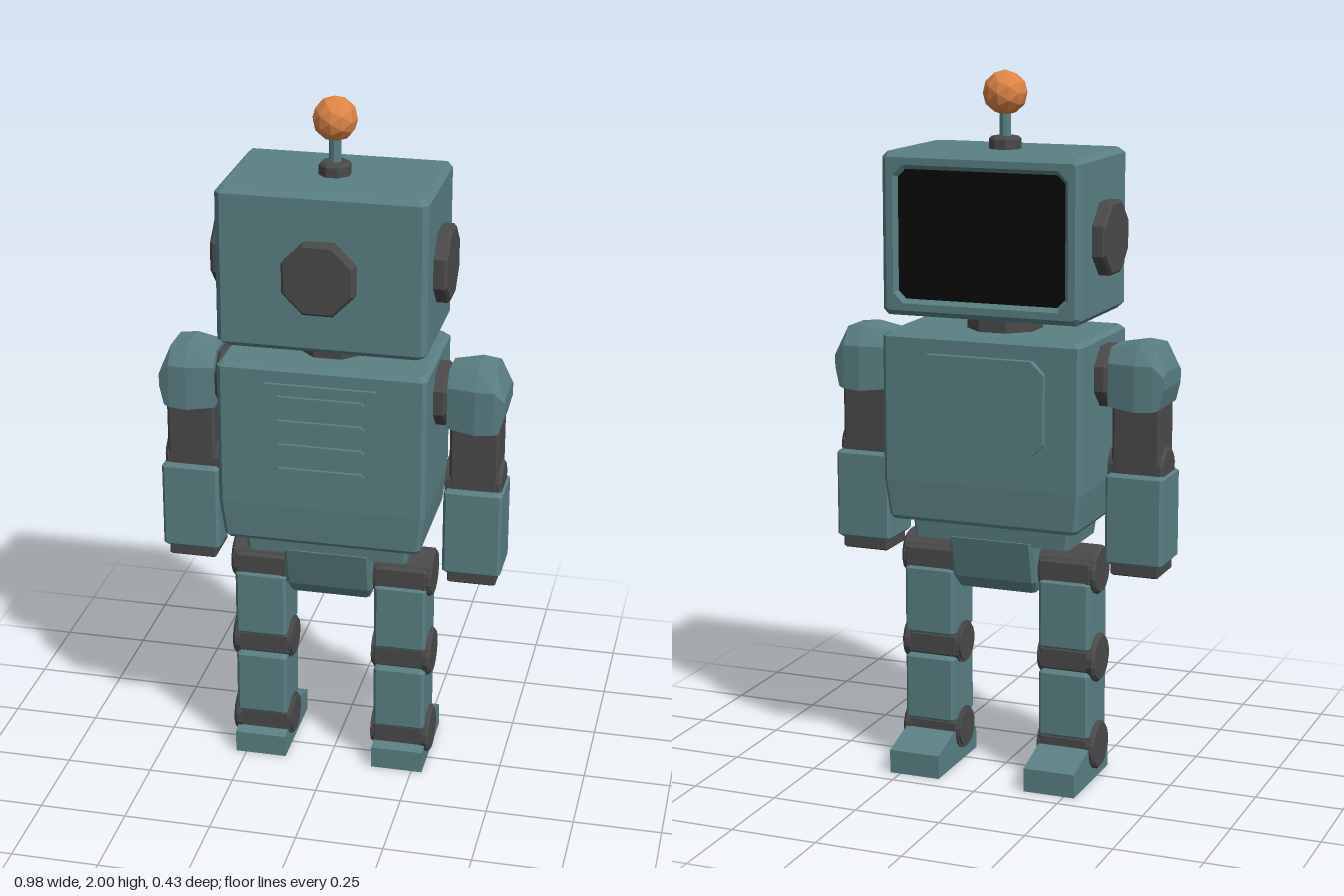
import * as THREE from 'three';
import { ConvexGeometry } from 'three/addons/geometries/ConvexGeometry.js';

const mat = (name, color) => Object.assign(new THREE.MeshStandardMaterial({ color }), { name });
const CZ = -0.008; // depth of the joint axis

export function createModel() {
  const robot = new THREE.Group();
  robot.name = 'robot';
  const teal = mat('teal paint', 0x5a8084);
  const dark = mat('dark rubber', 0x4a4a4a);
  const orange = mat('orange bulb', 0xdd8546);
  const black = mat('black glass', 0x0a0a0a);

  // Flat-faceted mesh
  const add = (parent, name, geo, material) => {
    const g = geo.index ? geo.toNonIndexed() : geo;
    g.computeVertexNormals();
    const mesh = new THREE.Mesh(g, material);
    mesh.name = name;
    parent.add(mesh);
    return mesh;
  };

  // Convex solid through rectangular rings [y, x0, x1, z0, z1] with cut corners
  const loft = (rings, c = 0.012) => {
    const pts = [];
    for (const [y, x0, x1, z0, z1] of rings) {
      for (const [x, sx] of [[x0, 1], [x1, -1]]) {
        for (const [z, sz] of [[z0, 1], [z1, -1]]) {
          pts.push(new THREE.Vector3(x + sx * c, y, z), new THREE.Vector3(x, y, z + sz * c));
        }
      }
    }
    return new ConvexGeometry(pts);
  };

  // Box with chamfered edges
  const block = (x0, x1, y0, y1, z0, z1, c = 0.008) => loft([
    [y0, x0 + c, x1 - c, z0 + c, z1 - c], [y0 + c, x0, x1, z0, z1],
    [y1 - c, x0, x1, z0, z1], [y1, x0 + c, x1 - c, z0 + c, z1 - c]], c);

  // Disc along +y from 0 to h, with its far rim chamfered
  const disc = (r, h, sides, c = 0.008) => new THREE.LatheGeometry(
    [[0, 0], [r, 0], [r, h - c], [r - c, h], [0, h]].map(p => new THREE.Vector2(...p)),
    sides, Math.PI / sides);
  const sideDisc = (r, x0, x1, y, sides) =>
    disc(r, x1 - x0, sides).rotateZ(-Math.PI / 2).translate(x0, y, CZ);

  // Rectangle with cut corners, as a shape or a hole
  const cutRect = (Type, hx, y0, y1, c) => new Type([
    [-hx + c, y0], [hx - c, y0], [hx, y0 + c], [hx, y1 - c],
    [hx - c, y1], [-hx + c, y1], [-hx, y1 - c], [-hx, y0 + c]].map(p => new THREE.Vector2(...p)));
  const plate = (hx, y0, y1, c, z, depth) => new THREE.ExtrudeGeometry(
    cutRect(THREE.Shape, hx, y0, y1, c), { depth, bevelEnabled: false }).translate(0, 0, z);

  // Head, with a recessed screen on the -z face
  const head = new THREE.Group();
  head.name = 'head';
  robot.add(head);
  add(head, 'headShell', block(-0.29, 0.29, 1.335, 1.785, -0.18, 0.18, 0.015), teal);
  const frame = cutRect(THREE.Shape, 0.29, 1.335, 1.785, 0.015);
  frame.holes.push(cutRect(THREE.Path, 0.24, 1.385, 1.735, 0.02));
  add(head, 'screenFrame', new THREE.ExtrudeGeometry(frame, {
    depth: 0.02, bevelThickness: 0.015, bevelSize: 0.015, bevelOffset: -0.015, bevelSegments: 1,
  }).translate(0, 0, -0.185), teal);
  add(head, 'screen', plate(0.255, 1.37, 1.75, 0.02, -0.188, 0.009), black);
  add(head, 'rearDial', disc(0.108, 0.037, 8).rotateX(Math.PI / 2).translate(0, 1.555, 0.178), dark);
  add(head, 'antennaBase', disc(0.045, 0.037, 8).translate(0, 1.783, CZ), dark);
  add(head, 'antennaRod', new THREE.CylinderGeometry(0.017, 0.017, 0.09, 8).translate(0, 1.855, CZ), teal);
  add(head, 'antennaBulb', new THREE.IcosahedronGeometry(0.062, 1).translate(0, 1.938, CZ), orange);
  add(robot, 'neck', new THREE.CylinderGeometry(0.105, 0.105, 0.08, 8)
    .rotateY(Math.PI / 8).translate(0, 1.31, CZ), dark);

  // Torso
  add(robot, 'torso', loft([
    [0.755, -0.273, 0.273, -0.185, 0.168], [0.765, -0.28, 0.28, -0.19, 0.174],
    [0.87, -0.293, 0.293, -0.197, 0.18], [1.275, -0.293, 0.293, -0.197, 0.18],
    [1.287, -0.281, 0.281, -0.185, 0.168]]), teal);
  add(robot, 'chestPanel', plate(0.19, 0.97, 1.235, 0.035, -0.217, 0.025), teal);
  add(robot, 'backPanel', plate(0.157, 0.925, 1.24, 0.003, 0.175, 0.015), teal);
  for (let i = 0; i < 4; i++) {
    const y = 1.19 - i * 0.071;
    add(robot, 'ventSlat', plate(0.125, y - 0.018, y + 0.018, 0.008, 0.185, 0.014), teal);
  }

  // Pelvis
  add(robot, 'waist', loft([
    [0.69, -0.23, 0.23, -0.12, 0.108], [0.77, -0.24, 0.24, -0.126, 0.114]], 0.01), teal);
  add(robot, 'crotch', loft([
    [0.545, -0.115, 0.115, -0.075, 0.058], [0.58, -0.125, 0.125, -0.098, 0.082],
    [0.7, -0.125, 0.125, -0.128, 0.114]], 0.01), teal);

  for (const side of [1, -1]) {
    const label = side > 0 ? 'left' : 'right';
    // Mirrored x range, kept in rising order
    const m = (a, b) => (side > 0 ? [a, b] : [-b, -a]);
    const outward = (geo) => (side > 0 ? geo : geo.rotateY(Math.PI).translate(0, 0, 2 * CZ));

    add(head, label + 'Ear', outward(sideDisc(0.108, 0.288, 0.328, 1.555, 8)), dark);

    // Arm
    const arm = new THREE.Group();
    arm.name = label + 'Arm';
    robot.add(arm);
    add(arm, 'shoulderJoint', outward(sideDisc(0.09, 0.288, 0.328, 1.175, 8)), dark);
    add(arm, 'shoulderAxle', outward(sideDisc(0.05, 0.32, 0.35, 1.175, 8)), dark);
    const pad = [];
    // Shoulder pad slices: x, bottom, brow, top, half depth, top half depth
    for (const [x, y0, y1, y2, d, t] of [[0.33, 1.1, 1.22, 1.262, 0.075, 0.045],
      [0.41, 1.092, 1.22, 1.275, 0.09, 0.055], [0.46, 1.095, 1.22, 1.27, 0.087, 0.05],
      [0.49, 1.155, 1.19, 1.2, 0.078, 0.05], [0.476, 1.1, 1.15, 1.2, 0.082, 0.05]]) {
      for (const s of [1, -1]) {
        pad.push(new THREE.Vector3(side * x, y0, CZ + s * d),
          new THREE.Vector3(side * x, y1, CZ + s * d), new THREE.Vector3(side * x, y2, CZ + s * t));
      }
    }
    add(arm, 'shoulderPad', new ConvexGeometry(pad), teal);
    add(arm, 'upperArm', block(...m(0.337, 0.476), 0.9, 1.11, CZ - 0.06, CZ + 0.06), dark);
    add(arm, 'elbow', outward(sideDisc(0.06, 0.326, 0.485, 0.925, 16)), dark);
    add(arm, 'forearm', block(...m(0.325, 0.491), 0.655, 0.912, CZ - 0.079, CZ + 0.079), teal);
    add(arm, 'hand', block(...m(0.339, 0.477), 0.622, 0.67, CZ - 0.065, CZ + 0.065, 0.004), dark);

    // Leg
    const leg = new THREE.Group();
    leg.name = label + 'Leg';
    robot.add(leg);
    add(leg, 'thigh', block(...m(0.13, 0.28), 0.39, 0.59, CZ - 0.077, CZ + 0.077), teal);
    add(leg, 'shin', block(...m(0.13, 0.28), 0.13, 0.325, CZ - 0.077, CZ + 0.077), teal);
    for (const [name, y, r] of [['hip', 0.615, 0.07], ['knee', 0.357, 0.062], ['ankle', 0.097, 0.062]]) {
      add(leg, name, block(...m(0.124, 0.284), y - 0.035, y + 0.035, CZ - r, CZ + r), dark);
      add(leg, name + 'Barrel', outward(sideDisc(r, 0.124, 0.284, y, 16)), dark);
      add(leg, name + 'Cap', outward(sideDisc(0.07, 0.27, 0.294, y, 16)), dark);
      add(leg, name + 'InnerCap', outward(sideDisc(0.055, 0.118, 0.14, y, 16)), dark);
    }
    // Wedge foot, toes toward -z
    const profile = [[0.087, 0], [0.087, 0.065], [0.05, 0.072], [-0.08, 0.102], [-0.197, 0.068], [-0.197, 0]];
    const foot = [];
    for (const x of [0.13, 0.281]) for (const [z, y] of profile) foot.push(new THREE.Vector3(side * x, y, z));
    add(leg, 'foot', new ConvexGeometry(foot), teal);
  }
  return robot;
}
